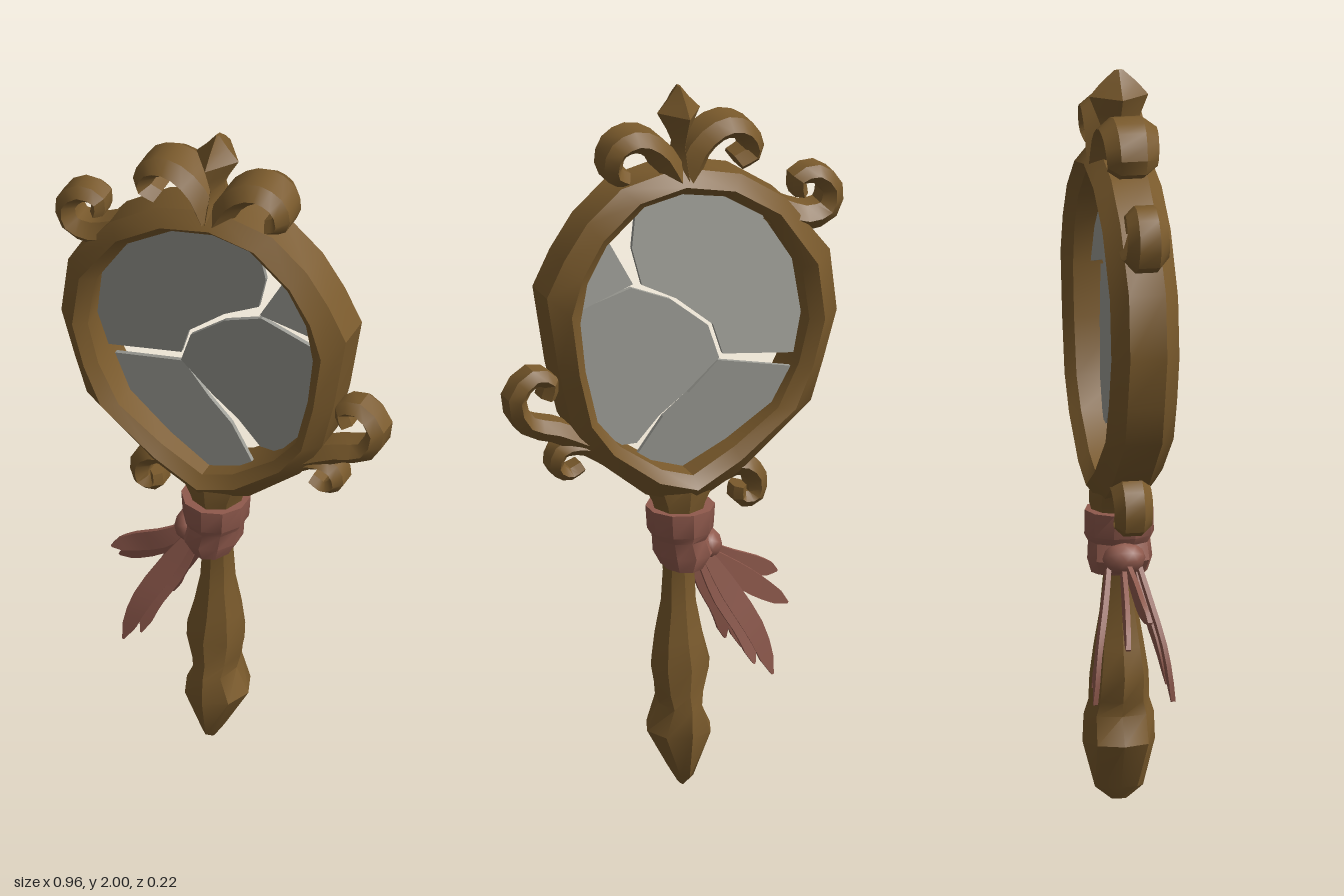
import * as THREE from 'three';
import { toCreasedNormals } from 'three/addons/utils/BufferGeometryUtils.js';

const V = (x, y, z = 0) => new THREE.Vector3(x, y, z);
const mat = (name, color, side = THREE.FrontSide) => {
  const m = new THREE.MeshStandardMaterial({ color, side });
  m.name = name;
  return m;
};

// Skin a list of equal-length rings; ends are capped unless the loop is closed
function loft(rings, closed = false) {
  const pos = [];
  const tri = (...p) => p.forEach(v => pos.push(v.x, v.y, v.z));
  const n = rings[0].length, count = rings.length;
  for (let i = 0; i < (closed ? count : count - 1); i++) {
    const r = rings[i], s = rings[(i + 1) % count];
    for (let j = 0; j < n; j++) {
      const k = (j + 1) % n;
      tri(r[j], r[k], s[k]);
      tri(r[j], s[k], s[j]);
    }
  }
  if (!closed) {
    const a = rings[0], b = rings[count - 1];
    for (let j = 1; j < n - 1; j++) {
      tri(a[0], a[j + 1], a[j]);
      tri(b[0], b[j], b[j + 1]);
    }
  }
  const g = new THREE.BufferGeometry();
  g.setAttribute('position', new THREE.Float32BufferAttribute(pos, 3));
  g.computeVertexNormals();
  return toCreasedNormals(g, 0.6);
}

// Upright post from [y, half width, half depth, centre x]
const post = (rows, sides = 8) => loft(rows.map(([y, rx, rz, cx = -0.015]) =>
  Array.from({ length: sides }, (_, j) => {
    const t = j / sides * Math.PI * 2;
    return V(cx + Math.sin(t) * rx, y, Math.cos(t) * rz);
  })));

// Sweep an oval section along a curve; radii are functions of t in 0..1
function sweep(points, rn, rz, steps = 12, sides = 6) {
  const curve = new THREE.CatmullRomCurve3(points.map(p => V(...p)));
  const rings = [];
  for (let i = 0; i <= steps; i++) {
    const t = i / steps, c = curve.getPoint(t), d = curve.getTangent(t);
    const n = V(-d.y, d.x).normalize();
    rings.push(Array.from({ length: sides }, (_, j) => {
      const a = j / sides * Math.PI * 2 + Math.PI / sides;
      return c.clone().addScaledVector(n, Math.cos(a) * rn(t)).add(V(0, 0, Math.sin(a) * rz(t)));
    }));
  }
  return loft(rings);
}

export function createModel() {
  const bronze = mat('bronze', 0x7a5a2c);
  const glass = mat('mirror glass', 0x9b9b94, THREE.DoubleSide);
  const cloth = mat('ribbon cloth', 0x905a4d, THREE.DoubleSide);
  const model = new THREE.Group();
  model.name = 'handMirror';
  const add = (name, geometry, material) => {
    const m = new THREE.Mesh(geometry, material);
    m.name = name;
    model.add(m);
    return m;
  };

  // Irregular oval frame: outer x, y and inner x, y, counterclockwise
  const outline = [
    [0.385, 1.47, 0.295, 1.39], [0.335, 1.57, 0.275, 1.5], [0.27, 1.665, 0.22, 1.6],
    [0.17, 1.75, 0.11, 1.695], [0, 1.785, 0, 1.715], [-0.175, 1.74, -0.12, 1.69],
    [-0.305, 1.65, -0.25, 1.605], [-0.43, 1.485, -0.345, 1.45], [-0.45, 1.31, -0.365, 1.3],
    [-0.41, 1.17, -0.335, 1.18], [-0.375, 1.06, -0.275, 1.06], [-0.17, 0.89, -0.15, 0.97],
    [-0.04, 0.82, -0.03, 0.905], [0.1, 0.865, 0.06, 0.935], [0.25, 0.99, 0.18, 1.02],
    [0.315, 1.1, 0.245, 1.1], [0.35, 1.25, 0.28, 1.25],
  ];
  const section = [[0, 0.065], [0.4, 0.092], [1, 0.05], [1, -0.05], [0.4, -0.092], [0, -0.065]];
  add('frame', loft(outline.map(([ox, oy, ix, iy]) =>
    section.map(([t, z]) => V(ix + (ox - ix) * t, iy + (oy - iy) * t, z))), true), bronze);

  // Broken glass: outline, then tilt along x and y
  const shards = [
    [[[-0.35, 1.19], [-0.13, 1.225], [-0.105, 1.31], [0, 1.4], [0.1, 1.455], [0.125, 1.56],
      [0.105, 1.69], [0, 1.74], [-0.14, 1.71], [-0.27, 1.62], [-0.38, 1.46], [-0.39, 1.3]], -0.07, 0.1],
    [[[0.115, 1.45], [0.2, 1.61], [0.24, 1.61], [0.3, 1.5], [0.31, 1.395]], -0.1, 0.05],
    [[[-0.125, 1.21], [-0.095, 1.305], [0.01, 1.393], [0.12, 1.44], [0.31, 1.385], [0.3, 1.25],
      [0.265, 1.09], [0.19, 1], [0.11, 1], [0.045, 1.07], [-0.03, 1.125]], 0.05, 0.03],
    [[[-0.345, 1.155], [-0.12, 1.205], [-0.04, 1.12], [0.03, 1.06], [0.1, 0.955], [0.05, 0.91],
      [-0.03, 0.88], [-0.16, 0.95], [-0.29, 1.05]], 0.06, -0.08],
  ];
  for (const [pts, ax, ay] of shards) {
    const g = new THREE.ExtrudeGeometry(new THREE.Shape(pts.map(p => new THREE.Vector2(...p))),
      { depth: 0.012, bevelEnabled: false });
    const cx = pts.reduce((s, p) => s + p[0], 0) / pts.length;
    const cy = pts.reduce((s, p) => s + p[1], 0) / pts.length;
    const p = g.attributes.position;
    for (let i = 0; i < p.count; i++)
      p.setZ(i, p.getZ(i) - 0.006 + ax * (p.getX(i) - cx) + ay * (p.getY(i) - cy));
    g.computeVertexNormals();
    add('glassShard', g, glass);
  }

  // Curled ornaments: path, start and end thickness, half depth
  const scrolls = [
    ['upperRightScroll', [[-0.28, 1.61], [-0.37, 1.575], [-0.435, 1.59], [-0.448, 1.65], [-0.405, 1.695],
      [-0.355, 1.685], [-0.36, 1.64]], 0.045, 0.022, 0.06],
    ['leftScroll', [[0.26, 1.03], [0.35, 1.075], [0.43, 1.105], [0.46, 1.18], [0.41, 1.235],
      [0.36, 1.215], [0.37, 1.17]], 0.036, 0.024, 0.06],
    ['lowerLeftScroll', [[0.2, 0.98], [0.27, 1.02], [0.33, 1.015], [0.345, 0.97], [0.31, 0.945],
      [0.27, 0.96]], 0.03, 0.018, 0.055],
    ['lowerRightScroll', [[-0.1, 0.88], [-0.18, 0.9], [-0.23, 0.86], [-0.225, 0.8], [-0.185, 0.8],
      [-0.185, 0.835]], 0.04, 0.02, 0.055],
    ['crownRightScroll', [[-0.02, 1.74], [-0.07, 1.835], [-0.14, 1.873], [-0.2, 1.85], [-0.22, 1.79],
      [-0.175, 1.765]], 0.04, 0.027, 0.082],
    ['crownLeftScroll', [[0, 1.74], [0.055, 1.835], [0.12, 1.872], [0.175, 1.85], [0.185, 1.79],
      [0.15, 1.765]], 0.04, 0.027, 0.082],
  ];
  for (const [name, path, r0, r1, depth] of scrolls)
    add(name, sweep(path, t => r0 + (r1 - r0) * t, t => depth * (1 - 0.25 * t * t)), bronze);

  // Pointed finial on its stem above the frame
  add('finial', post([[1.74, 0.06, 0.085], [1.8, 0.025, 0.06], [1.84, 0.018, 0.045], [1.88, 0.035, 0.06],
    [1.93, 0.062, 0.08], [1.965, 0.03, 0.05], [2, 0.004, 0.012]], 4), bronze);

  // Turned handle with a pointed pommel, widening into the frame
  add('handle', post([[0.005, 0.004, 0.02, -0.02], [0.04, 0.026, 0.065, -0.02], [0.165, 0.09, 0.098],
    [0.24, 0.056, 0.095], [0.28, 0.066, 0.082], [0.35, 0.084, 0.08, -0.02], [0.43, 0.068, 0.068],
    [0.52, 0.05, 0.052], [0.62, 0.045, 0.042], [0.75, 0.055, 0.06], [0.82, 0.075, 0.08],
    [0.88, 0.11, 0.08, -0.02]]), bronze);

  // Ribbon wound round the neck
  add('ribbonWrap', post([[0.63, 0.055, 0.076, -0.025], [0.67, 0.082, 0.088, -0.03],
    [0.715, 0.075, 0.084, -0.02], [0.735, 0.088, 0.094, -0.02], [0.8, 0.093, 0.093, -0.02]], 10), cloth);
  const knot = add('ribbonKnot', new THREE.IcosahedronGeometry(0.045, 1), cloth);
  knot.position.set(-0.09, 0.68, 0);
  knot.scale.z = 1.3;

  // Loose ribbon tails, with forked ends
  const strand = (path, w) => add('ribbonTail',
    sweep(path, t => w * (0.5 + 0.7 * Math.sin(t * Math.PI)) * (t > 0.95 ? 0.25 : 1), () => 0.009, 8, 4), cloth);
  strand([[-0.07, 0.69, 0], [-0.16, 0.62, 0.015], [-0.25, 0.58, 0.02], [-0.31, 0.555, 0.03]], 0.033);
  strand([[-0.07, 0.67, 0], [-0.16, 0.595, -0.01], [-0.24, 0.535, -0.02], [-0.315, 0.485, -0.03]], 0.036);
  for (const s of [1, -1]) {
    strand([[-0.07, 0.68, s * 0.035], [-0.13, 0.57, s * 0.06], [-0.2, 0.44, s * 0.09], [-0.24, 0.32, s * 0.105]], 0.034);
    strand([[-0.06, 0.66, s * 0.035], [-0.11, 0.55, s * 0.055], [-0.165, 0.45, s * 0.08], [-0.19, 0.355, s * 0.1]], 0.03);
  }
  return model;
}
